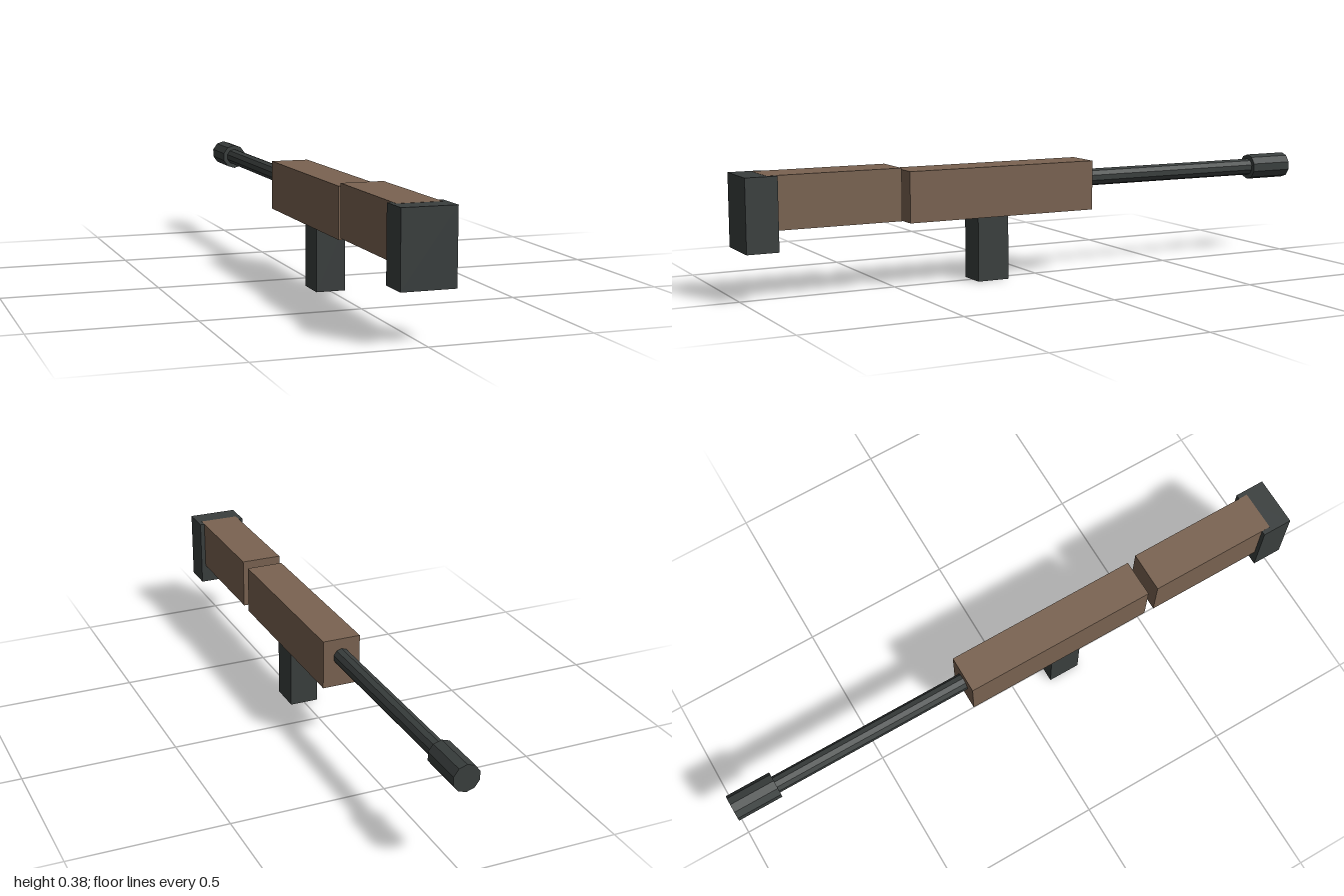
import * as THREE from 'three';

export function createModel() {
  const model = new THREE.Group();
  const metal = new THREE.MeshStandardMaterial({ color: 0x3a3f3e, flatShading: true });
  const wood = new THREE.MeshStandardMaterial({ color: 0x7a6351, flatShading: true });

  function add(name, geometry, material, y, z) {
    const mesh = new THREE.Mesh(geometry, material);
    mesh.name = name;
    mesh.position.set(0, y, z);
    model.add(mesh);
  }

  // Box given by its width and its y and z ranges
  function block(name, material, width, y0, y1, z0, z1) {
    add(name, new THREE.BoxGeometry(width, y1 - y0, z1 - z0), material, (y0 + y1) / 2, (z0 + z1) / 2);
  }

  // Ten-sided rod along z
  function rod(name, radius, z0, z1) {
    const geometry = new THREE.CylinderGeometry(radius, radius, z1 - z0, 10).rotateX(Math.PI / 2);
    add(name, geometry, metal, 0.306, (z0 + z1) / 2);
  }

  // Shoulder stock and its end plate
  block('buttPlate', metal, 0.165, 0.154, 0.381, 0.9, 1);
  block('stock', wood, 0.135, 0.217, 0.3815, 0.5, 0.93);

  // Main body with the grip below
  block('body', wood, 0.125, 0.207, 0.368, -0.18, 0.47);
  block('grip', metal, 0.095, 0, 0.215, 0.123, 0.23);

  // Barrel and muzzle
  rod('barrel', 0.028, -0.86, -0.15);
  rod('muzzle', 0.043, -1, -0.85);

  return model;
}
